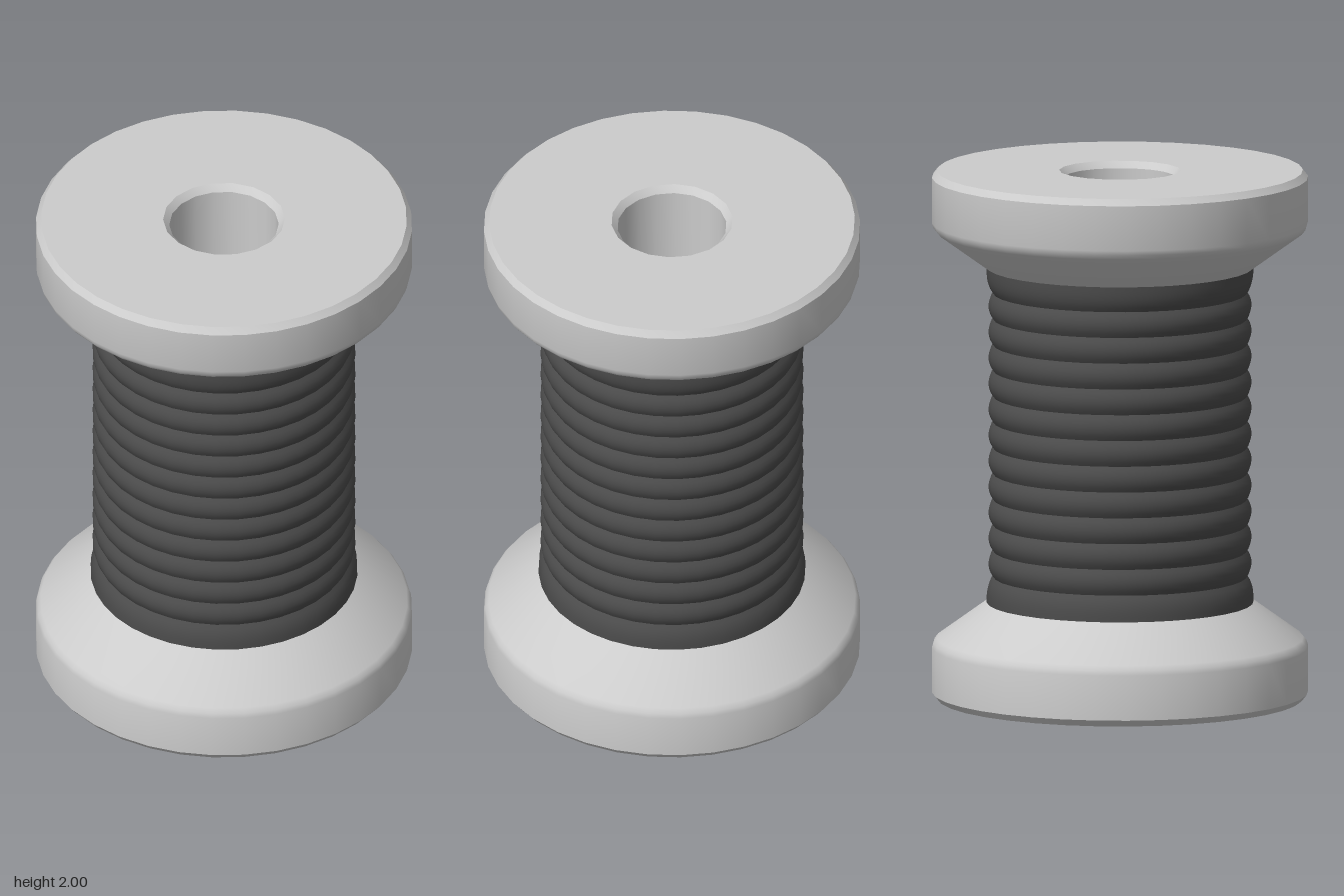
import * as THREE from 'three';
import { toCreasedNormals } from 'three/addons/utils/BufferGeometryUtils.js';

const HEIGHT = 2, RIM_SIDES = 36, HOLE_SIDES = 18;
const RIM_TOP = 0.365; // height where the rim meets the thread
const FACE_R = 0.685, HOLE_R = 0.205, HOLE_EDGE_R = 0.228, CHAMFER = 0.025;

// Turned surface with a flat side centred on each axis direction
function turned(profile, sides) {
  const points = profile.map(([r, y]) => new THREE.Vector2(r, y));
  const geometry = new THREE.LatheGeometry(points, sides, Math.PI / sides);
  return toCreasedNormals(geometry, Math.PI / 6);
}

function ring(radius, sides) {
  return Array.from({ length: sides }, (_, i) => {
    const a = ((2 * i + 1) * Math.PI) / sides;
    return new THREE.Vector2(radius * Math.sin(a), radius * Math.cos(a));
  });
}

function addMesh(parent, name, geometry, material) {
  const mesh = new THREE.Mesh(geometry, material);
  mesh.name = name;
  parent.add(mesh);
  return mesh;
}

// One flanged end, built at the bottom and facing down
function makeEnd(name, material) {
  const end = new THREE.Group();
  end.name = name;

  // Chamfered rim, soft shoulder and conical slope
  addMesh(end, 'rim', turned([
    [FACE_R, 0], [0.705, CHAMFER], [0.705, 0.195], [0.7, 0.213],
    [0.687, 0.23], [0.5, RIM_TOP], [0.46, RIM_TOP],
  ], RIM_SIDES), material);

  // Flat end face with the hole cut out
  const shape = new THREE.Shape(ring(FACE_R, RIM_SIDES));
  shape.holes.push(new THREE.Path(ring(HOLE_EDGE_R, HOLE_SIDES)));
  const face = new THREE.ShapeGeometry(shape);
  face.rotateX(Math.PI / 2);
  addMesh(end, 'endFace', face, material);
  return end;
}

export function createModel() {
  const spool = new THREE.Group();
  spool.name = 'threadSpool';
  const body = new THREE.MeshStandardMaterial({ color: 0xcccccc });
  const dark = new THREE.MeshStandardMaterial({ color: 0x4c4c4c });

  // Two matching ends
  spool.add(makeEnd('bottomEnd', body));
  const topEnd = makeEnd('topEnd', body);
  topEnd.rotation.z = Math.PI;
  topEnd.position.y = HEIGHT;
  spool.add(topEnd);

  // Through hole with chamfered mouths, facing inward
  addMesh(spool, 'centreHole', turned([
    [HOLE_EDGE_R, HEIGHT], [HOLE_R, HEIGHT - CHAMFER],
    [HOLE_R, CHAMFER], [HOLE_EDGE_R, 0],
  ], HOLE_SIDES), body);

  // Wound thread: rounded coils, the outer two flaring to meet the ends
  const coils = 13, steps = 6;
  const pitch = (HEIGHT - 2 * RIM_TOP) / coils;
  const profile = [];
  for (let i = 0; i <= coils * steps; i++) {
    const t = i / steps;
    const offset = 2 * (t % 1) - 1;
    let r = 0.476 + 0.017 * (1 - offset * offset);
    const fromEnd = Math.min(t, coils - t);
    if (fromEnd < 1) r = 0.5 - 0.024 * fromEnd ** 3;
    profile.push([r, RIM_TOP + t * pitch]);
  }
  addMesh(spool, 'woundThread', turned(profile, RIM_SIDES), dark);

  return spool;
}
